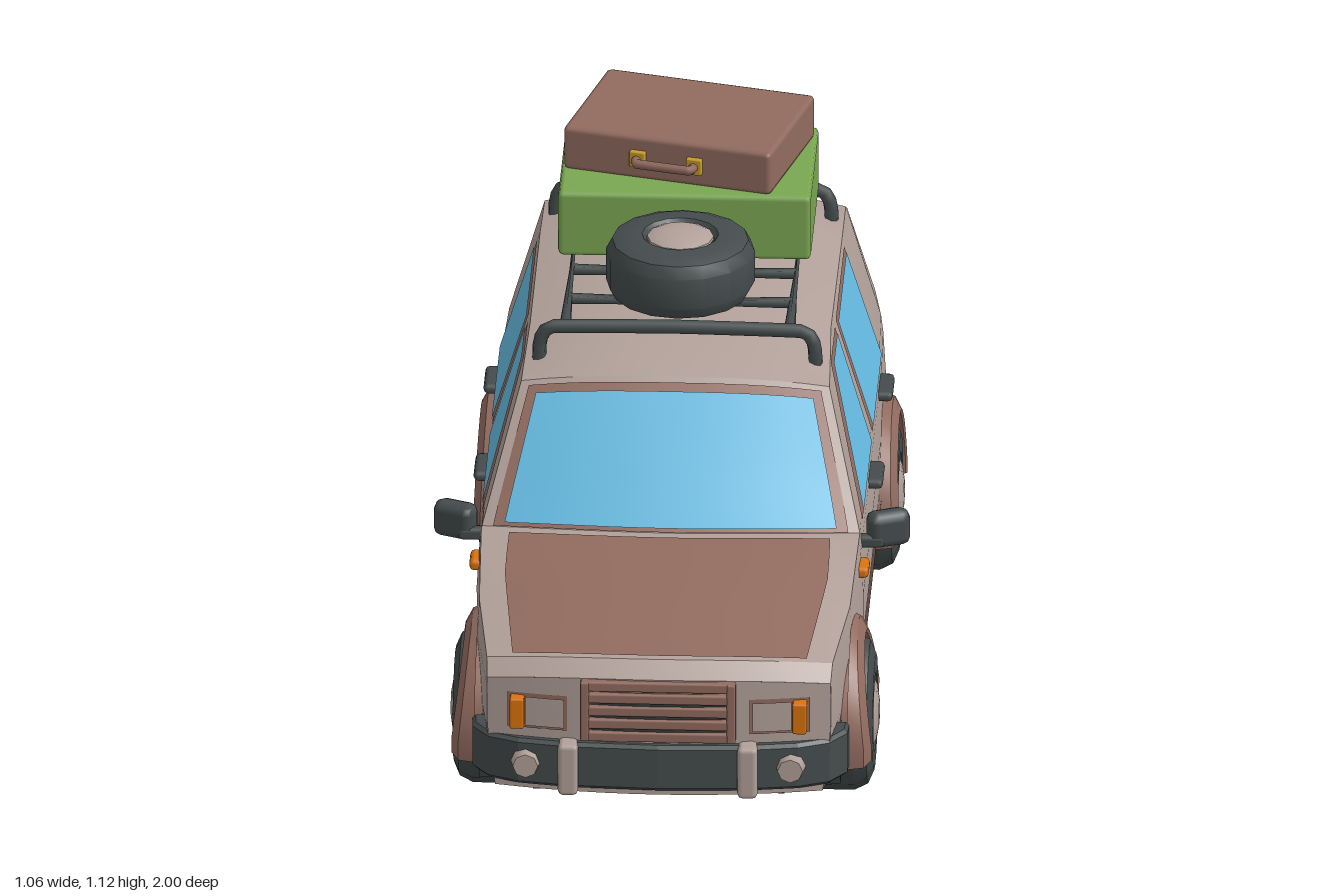
import * as THREE from 'three';
import { toCreasedNormals } from 'three/addons/utils/BufferGeometryUtils.js';
import { RoundedBoxGeometry } from 'three/addons/geometries/RoundedBoxGeometry.js';

const paint = (name, color) => {
  const m = new THREE.MeshStandardMaterial({ color, side: THREE.DoubleSide });
  m.name = name;
  return m;
};

// Linear lookup in a table of [key, value]
const look = (table, k) => {
  if (k <= table[0][0]) return table[0][1];
  for (let i = 1; i < table.length; i++) {
    const [a, va] = table[i - 1], [b, vb] = table[i];
    if (k <= b) return va + (vb - va) * (k - a) / (b - a);
  }
  return table[table.length - 1][1];
};
const span = (a, b, n) => Array.from({ length: n + 1 }, (_, i) => a + (b - a) * i / n);

// Body rules: top line along z, roof crown, plan taper, half width by height
const TOP = [[-.93, .48], [-.915, .52], [-.82, .775], [-.79, .795], [-.6, .82], [-.1, .828], [.1, .803],
  [.17, .778], [.412, .506], [.452, .51], [.7, .475], [.93, .435], [.965, .40]];
const CROWN = [[-.93, .01], [-.82, .03], [-.6, .045], [.1, .045], [.17, .025], [.41, .015], [.7, .03], [.965, .02]];
const TAPER = [[-.95, .93], [-.75, 1], [.6, 1], [.965, .89]];
const WIDTH = [[.12, .41], [.25, .43], [.36, .431], [.46, .425], [.5, .42], [.78, .335]];
const FRONT = .965, REAR = -.93, FLOOR = .12;
const bend = (x, z) => z - .3 * x * x * Math.min(1, Math.max(-.15, z * 3));
const halfWidth = (y, z) => look(WIDTH, y) * look(TAPER, z);
const topY = (t, z) => look(TOP, z) - look(CROWN, z) * Math.abs(t) ** 2.5;
const topPoint = (t, z, oy = 0, oz = 0) => {
  const x = t * halfWidth(topY(1, z), z);
  return [x, topY(t, z) + oy, bend(x, z) + oz];
};

// Surface through rows of points
function grid(rows, crease = .5) {
  const n = rows[0].length, index = [];
  for (let i = 0; i < rows.length - 1; i++) for (let j = 0; j < n - 1; j++) {
    const a = i * n + j, c = a + n;
    index.push(a, a + 1, c, a + 1, c + 1, c);
  }
  const g = new THREE.BufferGeometry();
  g.setAttribute('position', new THREE.Float32BufferAttribute(rows.flat(2), 3));
  g.setIndex(index);
  g.computeVertexNormals();
  return toCreasedNormals(g, crease);
}

// Panels lying on the top, the ends and the sides of the body
const topPanel = (z0, z1, t, oy, oz) =>
  grid(span(z0, z1, 6).map(z => span(t, -t, 12).map(u => topPoint(u, z, oy, oz))));
const endPanel = (sign, x0, x1, y0, y1, off) => {
  const xs = span(Math.min(x0, x1), Math.max(x0, x1), 4);
  if (sign < 0) xs.reverse();
  return grid([y0, y1].map(y => xs.map(x => [x, y, bend(x, sign > 0 ? FRONT : REAR) + sign * off])));
};
const sidePanel = (side, low, high, y0, y1, off) =>
  grid([[low, y0], [high, y1]].map(([zs, y]) => {
    const row = zs.map(z => [side * (halfWidth(y, z) + off), y, z]);
    return side > 0 ? row : row.reverse();
  }));

function bodyShell() {
  return grid(TOP.map(([z]) => {
    const edge = topY(1, z);
    const wall = [FLOOR, .25, .36, .46, .5].map((l, i) => {
      const y = Math.min(l, edge - .001 * (5 - i)), x = halfWidth(y, z);
      return [x, y, bend(x, z)];
    });
    const mirror = wall.map(([x, y, zz]) => [-x, y, zz]).reverse();
    return [...wall, ...span(1, -1, 12).map(t => topPoint(t, z)), ...mirror];
  }));
}
function bodyEnd(sign) {
  const z = sign > 0 ? FRONT : REAR;
  return grid(span(0, 1, 5).map(v => span(-sign, sign, 12).map(u => {
    const y = FLOOR + (topY(u, z) - FLOOR) * v, x = u * halfWidth(y, z);
    return [x, y, bend(x, z)];
  })));
}

// Bumper: half plan outline mirrored and extruded upwards
function bumper(half, y0, y1) {
  const pts = [...half, ...half.slice().reverse().filter(p => p[0] > 0).map(([x, z]) => [-x, z])];
  const b = .008, shape = new THREE.Shape(pts.map(p => new THREE.Vector2(...p)));
  const g = new THREE.ExtrudeGeometry(shape, { depth: y1 - y0 - 2 * b, bevelSize: b, bevelThickness: b, bevelSegments: 1 });
  return g.rotateX(Math.PI / 2).translate(0, y1 - b, 0);
}

const lathe = (pts, n) =>
  toCreasedNormals(new THREE.LatheGeometry(pts.map(p => new THREE.Vector2(...p)), n), .5);
const block = (w, h, d, r = .01) => new RoundedBoxGeometry(w, h, d, 1, r);
const tube = (pts, r, n = 24) => new THREE.TubeGeometry(
  new THREE.CatmullRomCurve3(pts.map(p => new THREE.Vector3(...p)), false, 'catmullrom', .15), n, r, 7);

export function createModel() {
  const car = new THREE.Group();
  car.name = 'car';
  const body = paint('body paint', 0xb2a19a), brown = paint('brown trim', 0x926b5f), dark = paint('dark rubber', 0x454c4d),
    under = paint('underside', 0x363c3b), glass = paint('glass', 0x65bce3), green = paint('green case', 0x79a751),
    orange = paint('orange lamp', 0xdb730c), red = paint('red lamp', 0xab2036), gold = paint('gold fitting', 0xc89c28);
  const add = (name, geo, mat, x = 0, y = 0, z = 0, parent = car) => {
    const m = new THREE.Mesh(geo, mat);
    m.name = name;
    m.position.set(x, y, z);
    parent.add(m);
    return m;
  };

  // Shell and main panels
  add('bodyShell', bodyShell(), body);
  add('bodyFront', bodyEnd(1), body);
  add('bodyRear', bodyEnd(-1), body);
  add('underside', new THREE.BoxGeometry(.805, .03, 1.8), under, 0, .132, -.02);
  add('hoodPanel', topPanel(.456, .925, .85, .006, 0), brown);
  add('windshieldFrame', topPanel(.18, .412, .94, .003, .003), brown);
  add('windshield', topPanel(.195, .407, .88, .006, .006), glass);
  add('rearWindowFrame', topPanel(-.912, -.828, .85, .001, -.003), brown);
  add('rearWindow', topPanel(-.907, -.834, .82, .002, -.006), glass);

  // Bumpers
  add('frontBumper', bumper([[0, .975], [.2, .966], [.31, .948], [.375, .92], [.41, .87], [.412, .83]], .135, .245), dark);
  add('frontValance', new THREE.BoxGeometry(.56, .03, .1), under, 0, .128, .88);
  add('rearBumper', bumper([[0, -.977], [.25, -.97], [.39, -.942], [.425, -.88], [.43, -.74]], .145, .242), brown);

  // Grille and number plate recess
  add('grilleBack', endPanel(1, -.172, .172, .255, .392, .003), brown);
  for (const y of [.263, .294, .325, .356, .385])
    add('grilleSlat', block(.345, .024, .03, .005), brown, 0, y, FRONT - .004);
  for (const y of [.279, .31, .341]) add('grilleGap', endPanel(1, -.15, .15, y - .004, y + .004, .005), under);
  for (const s of [-1, 1]) add('grilleSide', block(.02, .145, .035, .005), brown, s * .163, .324, FRONT - .004);
  add('plateRecess', endPanel(-1, -.12, .12, .28, .37, .004), brown);

  // Tyre and hub profiles
  const tyre = lathe([[0, -.083], [.13, -.083], [.16, -.07], [.175, -.04], [.175, .04], [.16, .07],
    [.13, .083], [.09, .083], [.08, .07], [0, .07]], 16);
  const hub = lathe([[.078, .06], [.078, .078], [.06, .087], [.03, .092], [0, .093]], 12);
  const wheel = name => {
    const g = new THREE.Group();
    g.name = name;
    add('tyre', tyre, dark, 0, 0, 0, g);
    add('hub', hub, body, 0, 0, 0, g);
    car.add(g);
    return g;
  };

  for (const s of [1, -1]) {
    // Wheels and arches that flare out towards the ground
    for (const [z, flare, lean] of [[.62, .468, .022], [-.55, .475, .008]]) {
      const w = wheel(z > 0 ? 'frontWheel' : 'rearWheel');
      w.position.set(s * .385, .175, z);
      w.rotation.z = -s * Math.PI / 2;
      add('wheelArch', grid(span(-.2, Math.PI + .2, 18).map(a => {
        const lip = flare - lean * Math.max(0, Math.sin(a));
        const row = [[.222, .415], [.214, lip - .016], [.184, lip], [.177, lip - .004], [.177, .4]]
          .map(([r, x]) => [s * x, .175 + r * Math.sin(a), z + r * Math.cos(a)]);
        return s > 0 ? row : row.reverse();
      })), brown);
    }
    // Side windows and sill
    add('sill', sidePanel(s, [.43, -.36], [.43, -.36], .12, .25, .006), brown);
    add('frontWindowFrame', sidePanel(s, [.295, -.12], [.055, -.137], .493, .767, .003), brown);
    add('frontWindow', sidePanel(s, [.262, -.11], [.034, -.127], .502, .757, .006), glass);
    add('rearSideWindowFrame', sidePanel(s, [-.174, -.582], [-.174, -.565], .493, .767, .003), brown);
    add('rearSideWindow', sidePanel(s, [-.184, -.572], [-.184, -.555], .502, .758, .006), glass);
    // Handles, markers, mirrors
    for (const z of [-.03, -.495]) add('doorHandle', block(.04, .024, .115, .011), dark, s * .436, .455, z);
    add('sideMarker', block(.03, .028, .07, .011), orange, s * .43, .436, .422);
    add('mirrorArm', block(.08, .03, .03), dark, s * .435, .463, .335);
    add('mirror', block(.1, .085, .055, .022), dark, s * .482, .485, .312).rotation.y = s * .4;
    // Lamps
    add('headlampFrame', endPanel(1, s * .203, s * .337, .268, .352, .003), brown);
    add('headlamp', endPanel(1, s * .21, s * .297, .275, .345, .008), body);
    add('turnLamp', block(.032, .074, .05, .005), orange, s * .315, .31, .941);
    add('tailLampFrame', endPanel(-1, s * .24, s * .377, .29, .41, .004), brown);
    add('tailLamp', block(.09, .1, .04, .005), red, s * .293, .35, -.925);
    add('rearTurnLamp', block(.032, .1, .04, .005), orange, s * .354, .35, -.923);
    // Bumper fittings
    add('frontOverrider', block(.045, .125, .07, .012), body, s * .2, .187, .962);
    add('rearOverrider', block(.04, .095, .07, .012), body, s * .2, .193, -.965);
    add('fogLamp', new THREE.CylinderGeometry(.028, .034, .03, 8).rotateX(Math.PI / 2), body, s * .295, .19, .965);
    // Roof rack rail
    add('rackRail', tube([[s * .25, .845, .06], [s * .25, .845, -.695]], .014, 1), dark);
  }

  // Roof rack bars
  for (const z of [.06, -.695])
    add('rackEndBar', tube([[-.308, .755, z], [-.306, .81, z], [-.28, .845, z], [0, .85, z], [.28, .845, z],
      [.306, .81, z], [.308, .755, z]], .016, 36), dark);
  for (const z of [-.09, -.245, -.45]) add('rackCrossBar', tube([[-.25, .845, z], [.25, .845, z]], .013, 1), dark);

  // Spare wheel
  const spare = wheel('spareWheel');
  spare.position.set(0, .936, -.085);
  spare.scale.set(.95, .9, .95);

  // Suitcases, handle on local +z
  const suitcase = (name, mat, w, h, d, y, z, turn) => {
    const g = new THREE.Group(), f = d / 2;
    g.name = name;
    g.position.set(0, y, z);
    g.rotation.y = turn;
    add('caseShell', block(w, h, d, .012), mat, 0, 0, 0, g);
    for (const s of [-1, 1]) add('handleMount', block(.036, .038, .018, .003), gold, s * .066, 0, f + .004, g);
    add('handle', tube([[-.066, 0, f], [-.062, 0, f + .03], [.062, 0, f + .03], [.066, 0, f]], .011), brown, 0, 0, 0, g);
    car.add(g);
  };
  suitcase('greenSuitcase', green, .563, .156, .385, .942, -.463, Math.PI);
  suitcase('brownSuitcase', brown, .485, .104, .335, 1.07, -.5, -.258);

  return car;
}
